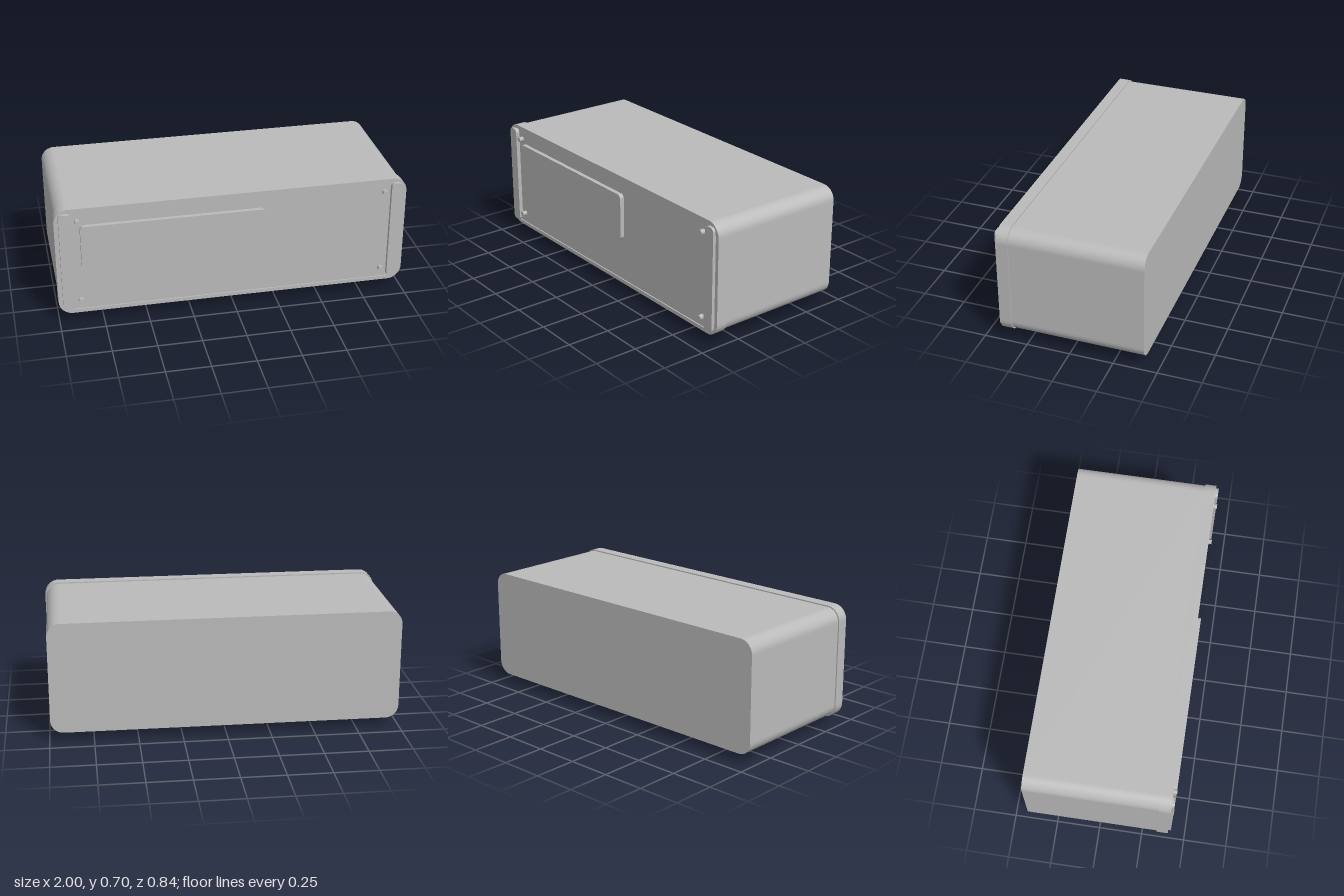
import * as THREE from 'three';

// Adds a rectangle to a shape or path, with separate radii for bottom and top corners
function roundRect(p, x0, x1, y0, y1, rBottom, rTop = rBottom) {
  p.moveTo(x0 + rBottom, y0);
  p.lineTo(x1 - rBottom, y0);
  if (rBottom) p.absarc(x1 - rBottom, y0 + rBottom, rBottom, -Math.PI / 2, 0);
  p.lineTo(x1, y1 - rTop);
  if (rTop) p.absarc(x1 - rTop, y1 - rTop, rTop, 0, Math.PI / 2);
  p.lineTo(x0 + rTop, y1);
  if (rTop) p.absarc(x0 + rTop, y1 - rTop, rTop, Math.PI / 2, Math.PI);
  p.lineTo(x0, y0 + rBottom);
  if (rBottom) p.absarc(x0 + rBottom, y0 + rBottom, rBottom, Math.PI, Math.PI * 1.5);
  return p;
}

export function createModel() {
  const model = new THREE.Group();
  model.name = 'enclosure';
  const grey = new THREE.MeshStandardMaterial({ color: 0xbababa });
  grey.name = 'light grey';

  const extrude = (name, shape, z0, z1, curveSegments = 5) => {
    const geo = new THREE.ExtrudeGeometry(shape, { depth: z1 - z0, bevelEnabled: false, curveSegments });
    geo.translate(0, 0, z0);
    const mesh = new THREE.Mesh(geo, grey);
    mesh.name = name;
    model.add(mesh);
    return mesh;
  };

  // Main case
  extrude('case', roundRect(new THREE.Shape(), -0.993, 0.993, 0.056, 0.698, 0.075), -0.422, 0.336);

  // Front bezel ring around a slightly recessed panel
  const bezel = roundRect(new THREE.Shape(), -1, 1, 0.05, 0.705, 0.08);
  bezel.holes.push(roundRect(new THREE.Path(), -0.978, 0.978, 0.072, 0.683, 0.055));
  extrude('bezel', bezel, 0.336, 0.402);
  extrude('frontPanel', roundRect(new THREE.Shape(), -0.978, 0.978, 0.072, 0.683, 0.055), 0.336, 0.395);

  // Raised label plate
  extrude('displayPlate', roundRect(new THREE.Shape(), -0.86, 0.175, 0.325, 0.6, 0.025), 0.395, 0.42);

  for (const side of [-1, 1]) {
    const sideName = side > 0 ? 'left' : 'right';

    // Raised strip at each end of the panel
    const x = side * 0.942;
    extrude(sideName + 'EndStrip', roundRect(new THREE.Shape(), x - 0.033, x + 0.033, 0.075, 0.68, 0.025), 0.395, 0.418);

    // Screw heads
    for (const y of [0.13, 0.625]) {
      const screw = new THREE.Mesh(new THREE.CylinderGeometry(0.015, 0.015, 0.027, 16), grey);
      screw.name = sideName + (y > 0.4 ? 'Upper' : 'Lower') + 'Screw';
      screw.rotation.x = Math.PI / 2;
      screw.position.set(side * 0.873, y, 0.4085);
      model.add(screw);
    }

    // Foot with rounded lower edges
    const f = side * 0.715;
    extrude(sideName + 'Foot', roundRect(new THREE.Shape(), f - 0.084, f + 0.084, 0, 0.058, 0.018, 0), -0.18, 0.112);
  }
  return model;
}
